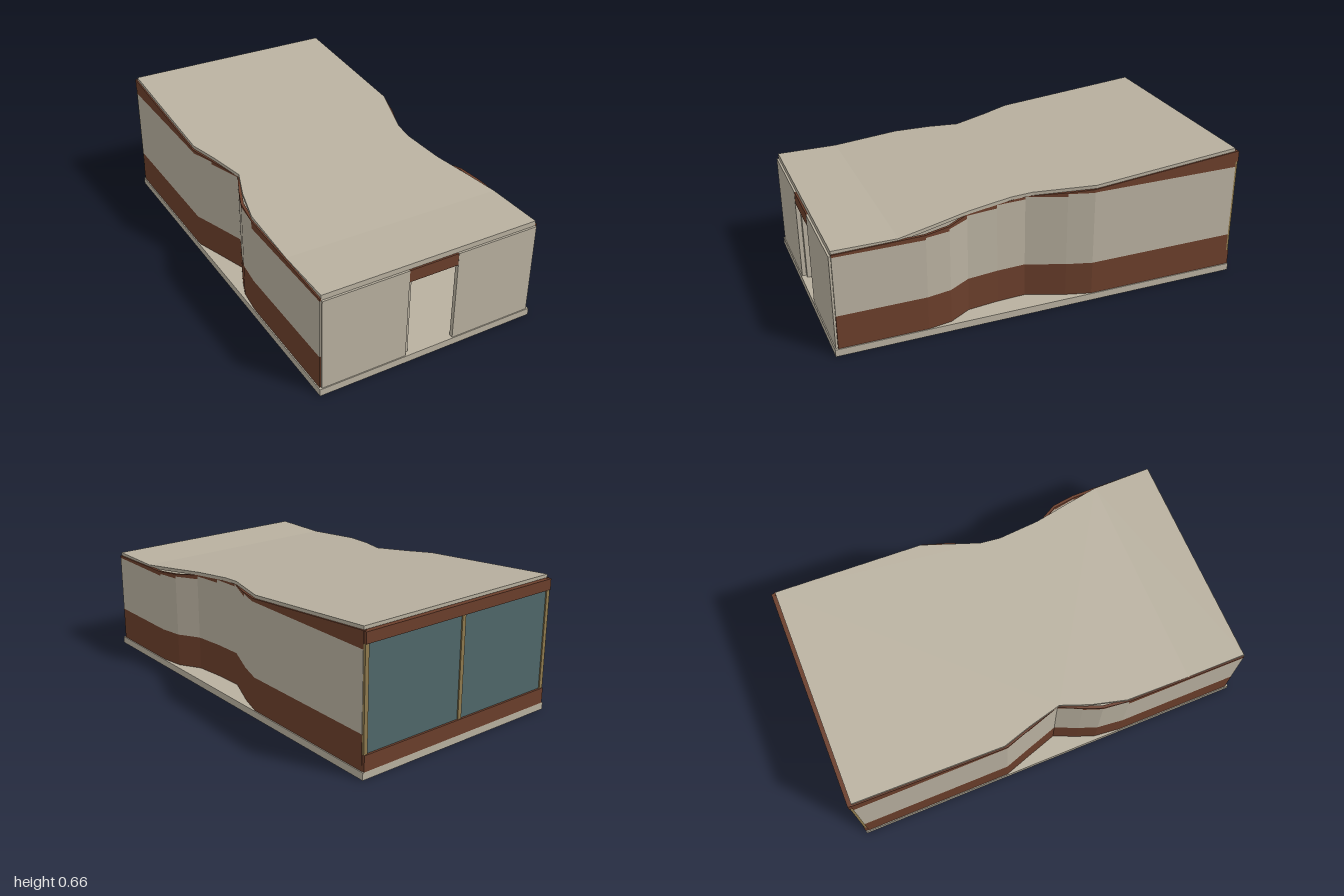
import * as THREE from 'three';

const mat = (name, color) => {
  const m = new THREE.MeshStandardMaterial({ color });
  m.name = name;
  return m;
};

export function createModel() {
  const model = new THREE.Group();
  model.name = 'pavilion';
  const stone = mat('beige render', 0xb8b09f);
  const brown = mat('brown cladding', 0x6a3e2b);
  const glass = mat('blue grey glass', 0x4f6669);
  const wood = mat('tan timber', 0x8f7a4e);

  function add(name, geometry, material) {
    const mesh = new THREE.Mesh(geometry, material);
    mesh.name = name;
    model.add(mesh);
    return mesh;
  }

  // Box given by its limits on each axis
  function box(name, material, x0, x1, y0, y1, z0, z1) {
    const g = new THREE.BoxGeometry(x1 - x0, y1 - y0, z1 - z0);
    add(name, g, material).position.set((x0 + x1) / 2, (y0 + y1) / 2, (z0 + z1) / 2);
  }

  // Prism over a plan of [x, z] points; bottom and top heights depend on z
  function prism(name, material, plan, low, high) {
    const shape = new THREE.Shape(plan.map(([x, z]) => new THREE.Vector2(x, -z)));
    const g = new THREE.ExtrudeGeometry(shape, { depth: 1, bevelEnabled: false });
    g.rotateX(-Math.PI / 2);
    const p = g.attributes.position;
    for (let i = 0; i < p.count; i++) {
      const z = p.getZ(i);
      p.setY(i, p.getY(i) > 0.5 ? high(z) : low(z));
    }
    g.computeVertexNormals();
    add(name, g, material);
  }

  const roofTop = (z) => 0.515 + Math.max(0, 0.69 - z) * 0.0868;
  const roofBottom = (z) => roofTop(z) - 0.016;
  const flat = (y) => () => y;

  // Floor slab
  box('floorSlab', stone, -0.557, 0.557, 0, 0.035, -1, 1);

  // Roof: level front strip and pinched sloping part
  prism('roofFront', stone, [[-0.545, 0.69], [0.545, 0.69], [0.545, 0.985], [-0.545, 0.985]],
    flat(0.49), roofTop);
  prism('roofSlope', stone, [
    [-0.545, -0.98], [0.545, -0.98], [0.545, -0.25], [0.5, -0.11], [0.455, 0.03], [0.447, 0.13],
    [0.47, 0.34], [0.51, 0.52], [0.545, 0.69], [-0.545, 0.69], [-0.545, 0.37], [-0.505, 0.2],
    [-0.455, 0.06], [-0.5, -0.11], [-0.545, -0.25],
  ], roofBottom, roofTop);

  // Side walls: plinth, pale panel with stepped top, and fascia under the roof
  const steps = [[0.57, 0.487], [0.455, 0.497], [0.35, 0.507], [0.2, 0.522], [0.04, 0.538],
    [-0.12, 0.55], [-0.24, 0.563]];
  const panelTop = (z) => (steps.find(([from]) => z > from) || [0, 0.565])[1];
  const leftPath = [[0.552, 0.985], [0.552, 0.57], [0.532, 0.455], [0.47, 0.35], [0.452, 0.2],
    [0.446, 0.06], [0.517, -0.12], [0.552, -0.24], [0.552, -0.985]];
  const rightPath = [[-0.552, 0.985], [-0.552, 0.38], [-0.538, 0.25], [-0.505, 0.16],
    [-0.457, 0.05], [-0.512, -0.12], [-0.552, -0.24], [-0.552, -0.985]];
  for (const [side, path] of [['left', leftPath], ['right', rightPath]]) {
    const t = side === 'left' ? -0.014 : 0.014;
    for (let i = 0; i < path.length - 1; i++) {
      const [a, b] = [path[i], path[i + 1]];
      const plan = [a, b, [b[0] + t, b[1]], [a[0] + t, a[1]]];
      const top = panelTop((a[1] + b[1]) / 2);
      prism(side + 'Plinth', brown, plan, flat(0.035), flat(0.2));
      prism(side + 'Panel', stone, plan, flat(0.2), flat(top));
      prism(side + 'Fascia', brown, plan, flat(top), (z) => Math.max(roofBottom(z), top));
    }
  }

  // Front wall with doorway
  for (const s of [-1, 1]) {
    box('frontWall', stone, Math.min(s * 0.125, s * 0.545), Math.max(s * 0.125, s * 0.545),
      0.035, 0.49, 0.975, 0.995);
  }
  box('doorLintel', brown, -0.125, 0.125, 0.43, 0.49, 0.975, 0.994);

  // Glazed back wall
  box('backSill', brown, -0.55, 0.55, 0.035, 0.11, -1, -0.975);
  box('backHeader', brown, -0.55, 0.55, 0.59, 0.642, -1, -0.975);
  box('backGlass', glass, -0.54, 0.54, 0.11, 0.59, -0.99, -0.982);
  for (const x of [-0.54, 0, 0.54]) {
    box('backMullion', wood, x - 0.01, x + 0.01, 0.11, 0.59, -0.996, -0.976);
  }

  // Interior partitions
  box('entryPartition', stone, -0.125, -0.102, 0.035, 0.48, 0.45, 0.975);
  box('innerPartition', stone, -0.102, -0.092, 0.035, 0.39, 0.1, 0.45);
  box('lowWall', stone, -0.3, -0.012, 0.035, 0.285, -0.32, -0.3);
  box('lowWallCap', brown, -0.3, -0.012, 0.285, 0.292, -0.322, -0.298);

  // Small table inside the door
  box('tableTop', brown, 0.085, 0.24, 0.13, 0.14, 0.2, 0.4);
  for (const x of [0.1, 0.22]) {
    for (const z of [0.22, 0.38]) {
      box('tableLeg', brown, x - 0.008, x + 0.008, 0.035, 0.13, z - 0.008, z + 0.008);
    }
  }
  return model;
}
